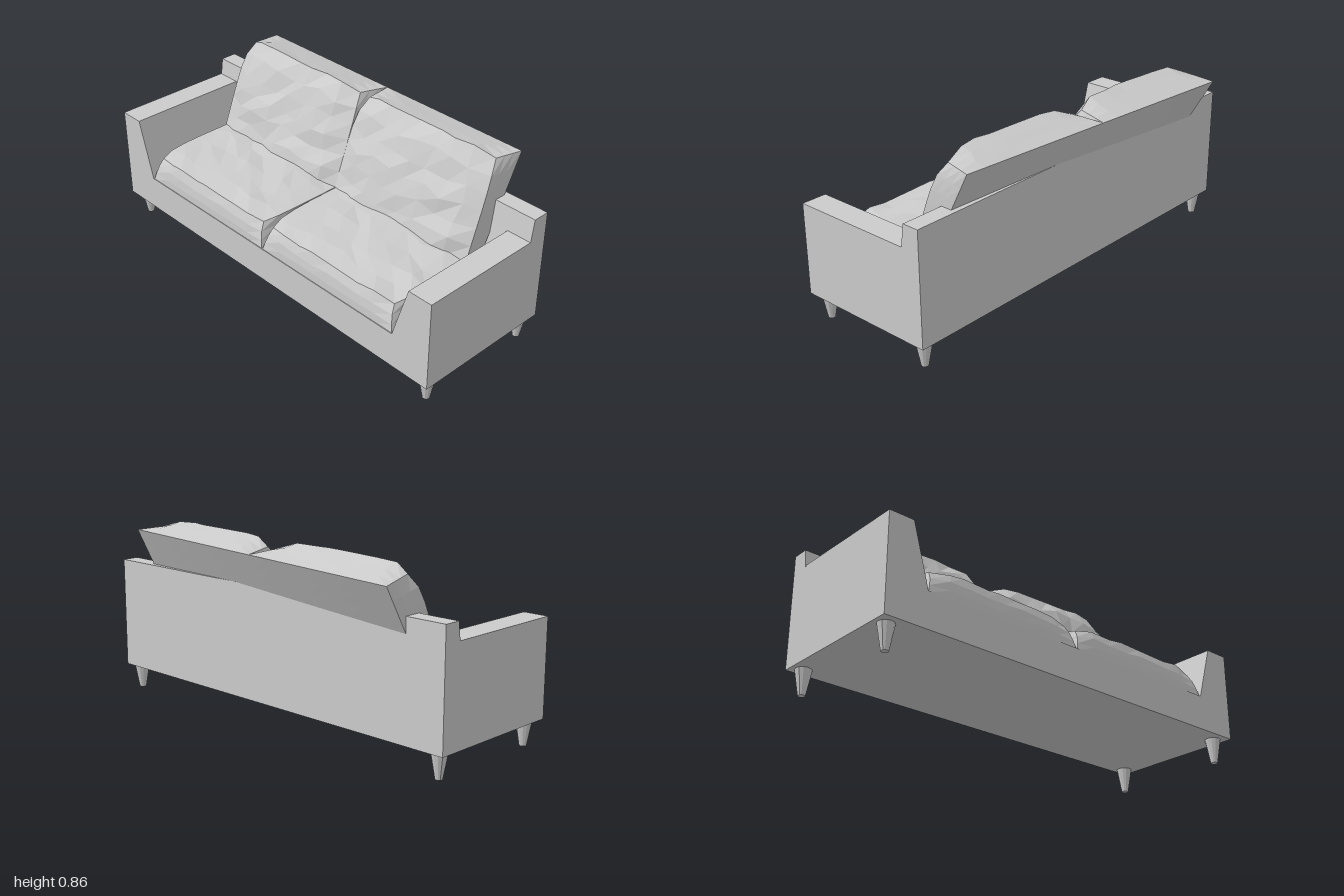
import * as THREE from 'three';

const grey = new THREE.MeshStandardMaterial({ color: 0xcccccc, flatShading: true });
const lerp = THREE.MathUtils.lerp;

// Repeatable noise in -1..1 that depends only on position, so shared corners stay joined
function noise(x, y, z, seed) {
  const s = Math.sin(x * 127.1 + y * 311.7 + z * 74.7 + seed * 53.3) * 43758.5453;
  return 2 * (s - Math.floor(s)) - 1;
}

function add(parent, name, geometry) {
  const mesh = new THREE.Mesh(geometry, grey);
  mesh.name = name;
  parent.add(mesh);
  return mesh;
}

function extrude(points, depth) {
  const shape = new THREE.Shape(points.map(([x, y]) => new THREE.Vector2(x, y)));
  return new THREE.ExtrudeGeometry(shape, { depth, bevelEnabled: false });
}

// Box of unit size whose vertices are moved by rule(u, v, w, p), u and v in 0..1, w in -1..1
function softBox(nx, ny, nz, rule) {
  const geometry = new THREE.BoxGeometry(1, 1, 1, nx, ny, nz);
  const pos = geometry.attributes.position;
  const p = new THREE.Vector3();
  for (let i = 0; i < pos.count; i++) {
    const u = Math.round((pos.getX(i) + 0.5) * 1000) / 1000;
    const v = Math.round((pos.getY(i) + 0.5) * 1000) / 1000;
    const w = Math.round(pos.getZ(i) * 2000) / 1000;
    rule(u, v, w, p);
    pos.setXYZ(i, p.x, p.y, p.z);
  }
  const flat = geometry.toNonIndexed();
  flat.computeVertexNormals();
  return flat;
}

// Seat cushion: puffy top, front corners pinched in
function seatCushion(zMid, seed) {
  return softBox(6, 3, 8, (u, v, w, p) => {
    const end = Math.abs(w) ** 8;
    const front = (1 - u) ** 6;
    const puff = (1 - w ** 4) * (1 - (1 - u) ** 4);
    const inner = v > 0 && Math.abs(w) < 1 ? 1 : 0;
    p.x = lerp(-0.402, 0.17, u) + 0.022 * front * v ** 3 + 0.02 * front * end * v;
    p.y = lerp(0.275, 0.405, v) + v * (0.022 * puff - 0.015 * front * end);
    p.z = zMid + w * (0.398 - 0.03 * front * v);
    p.y += 0.008 * inner * v * noise(u, v, w, seed);
    if (u > 0 && u < 1) p.x += 0.025 * inner * noise(w, u, v, seed);
    if (Math.abs(w) < 0.9) p.z += 0.02 * v * noise(v, w, u, seed);
  });
}

// Back cushion: leaning wedge, flat behind, puffy in front, a little askew along the seat
function backCushion(zMid, seed) {
  return softBox(3, 6, 8, (u, v, w, p) => {
    const z = zMid + w * 0.4;
    const s = (z + 0.8) / 1.6;
    const end = Math.abs(w) ** 8;
    const f = 1 - u;
    const frontX = lerp(lerp(0.02, 0.0, s), lerp(0.19, 0.165, s), v) + 0.02 * v ** 10;
    const frontY = lerp(0.4, lerp(0.838, 0.862, s), v);
    const backX = lerp(lerp(0.183, 0.135, s), lerp(0.405, 0.35, s), v);
    const backY = lerp(0.4, lerp(0.78, 0.822, s), v);
    p.x = lerp(frontX, backX, u) + f * (0.035 * end - 0.012 * (1 - w * w) * Math.sin(Math.PI * v));
    p.y = lerp(frontY, backY, u) - f * 0.035 * end * v ** 4;
    p.z = z - w * f * 0.03 * v ** 6;
    const inner = Math.abs(w) < 1 ? f : 0;
    p.x += 0.01 * inner * noise(u, v, w, seed);
    if (v > 0 && v < 1) p.y += 0.02 * inner * noise(w, u, v, seed);
    if (Math.abs(w) < 0.9) p.z += 0.02 * f * noise(v, w, u, seed);
  });
}

export function createModel() {
  const sofa = new THREE.Group();
  sofa.name = 'sofa';

  // Base under the seat
  const base = add(sofa, 'base', new THREE.BoxGeometry(0.555, 0.165, 1.6));
  base.position.set(-0.1275, 0.1975, 0);

  // Back panel with a sloping inner face, full length
  const back = add(sofa, 'backPanel', extrude([
    [0.15, 0.115], [0.285, 0.115], [0.285, 0.645], [0.205, 0.645], [0.19, 0.54], [0.15, 0.28],
  ], 2));
  back.position.z = -1;

  // Arms, slightly unequal in height, with sloping inner faces
  for (const [side, top, name] of [[1, 0.54, 'leftArm'], [-1, 0.565, 'rightArm']]) {
    const profile = [[1, 0.115], [1, top], [0.88, top], [0.8, 0.28], [0.8, 0.115]];
    const arm = add(sofa, name, extrude(profile.map(([z, y]) => [-side * z, y]), 0.597));
    arm.rotation.y = Math.PI / 2;
    arm.position.x = -0.405;
  }

  // Seat and back cushions, two of each
  [-0.4, 0.4].forEach((z, i) => {
    add(sofa, 'seatCushion', seatCushion(z, i + 1));
    add(sofa, 'backCushion', backCushion(z - 0.005, i + 5));
  });

  // Tapered legs
  for (const x of [-0.341, 0.235]) {
    for (const z of [-0.945, 0.945]) {
      const leg = add(sofa, 'leg', new THREE.CylinderGeometry(0.037, 0.016, 0.117, 12));
      leg.position.set(x, 0.0585, z);
    }
  }
  return sofa;
}
